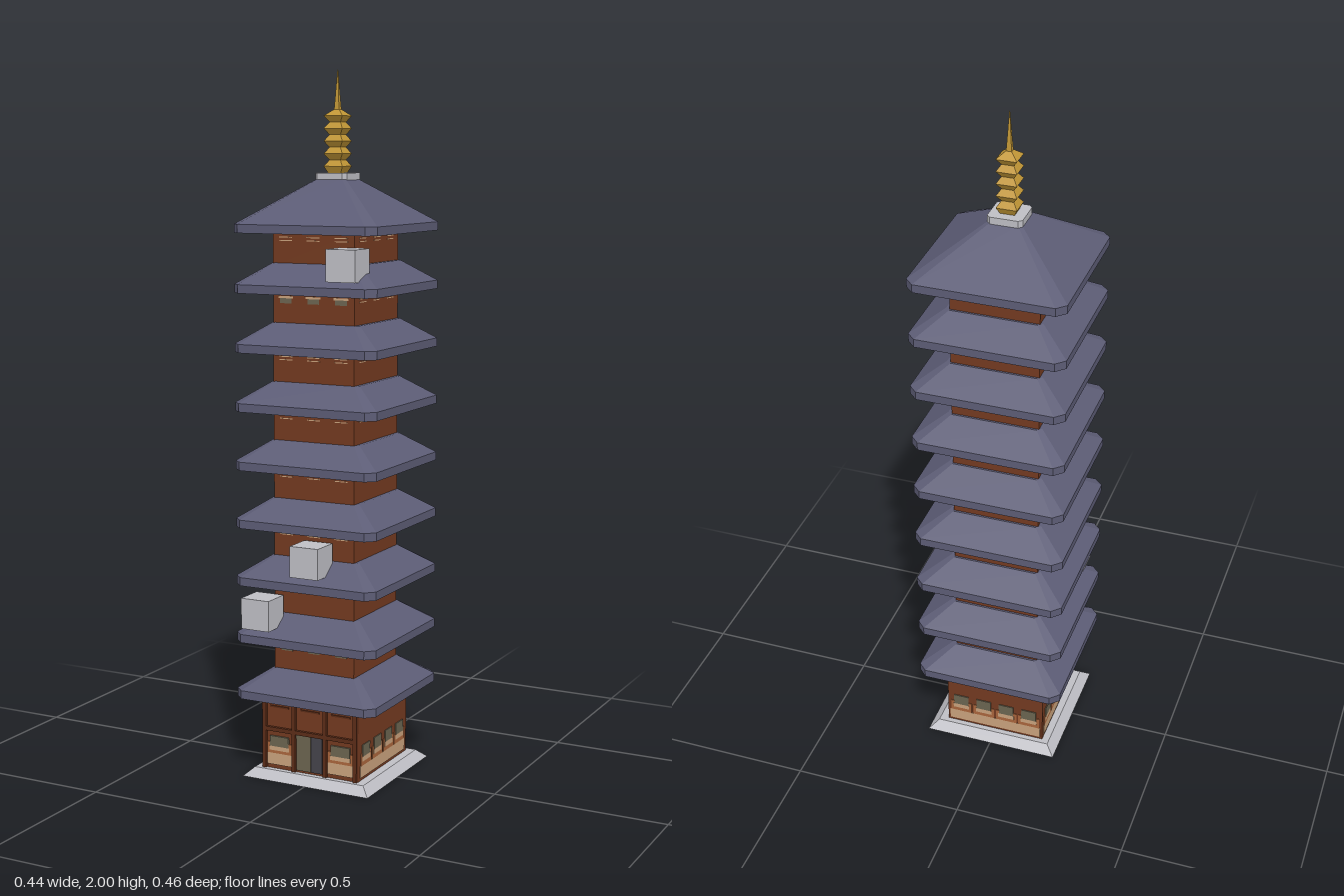
import * as THREE from 'three';

const paint = (name, color) => {
  const m = new THREE.MeshStandardMaterial({ color });
  m.name = name;
  return m;
};

// Outline of a rectangle, with cut corners when c > 0
function ring([hx, hz, y, c = 0]) {
  const p = c > 0
    ? [[-hx + c, hz], [hx - c, hz], [hx, hz - c], [hx, -hz + c], [hx - c, -hz], [-hx + c, -hz], [-hx, -hz + c], [-hx, hz - c]]
    : [[-hx, hz], [hx, hz], [hx, -hz], [-hx, -hz]];
  return p.map(([x, z]) => [x, y, z]);
}

// Closed, faceted solid through a stack of outlines [halfX, halfZ, y, cut]
function loft(sections) {
  const r = sections.map(ring), n = r[0].length, v = [];
  const last = r.length - 1;
  for (let j = 0; j < n; j++) {
    const k = (j + 1) % n;
    for (let i = 0; i < last; i++) {
      v.push(...r[i][j], ...r[i][k], ...r[i + 1][k]);
      v.push(...r[i][j], ...r[i + 1][k], ...r[i + 1][j]);
    }
    v.push(0, sections[0][2], 0, ...r[0][k], ...r[0][j]);
    v.push(0, sections[last][2], 0, ...r[last][j], ...r[last][k]);
  }
  const g = new THREE.BufferGeometry();
  g.setAttribute('position', new THREE.Float32BufferAttribute(v, 3));
  g.computeVertexNormals();
  return g;
}

export function createModel() {
  const model = new THREE.Group();
  model.name = 'pagoda';
  const tile = paint('slate blue tile', 0x5c5c75);
  const wood = paint('red brown wood', 0x733a20);
  const trim = paint('dark wood trim', 0x5c2c17);
  const stone = paint('grey stone', 0xbebec4);
  const gold = paint('gold', 0xc29736);
  const plaster = paint('beige plaster', 0xc9a27c);
  const clay = paint('orange clay', 0xa9653c);
  const pane = paint('olive window', 0x6b6450);
  const dark = paint('dark door', 0x45434a);

  function add(parent, name, geometry, material, x = 0, y = 0, z = 0) {
    const mesh = new THREE.Mesh(geometry, material);
    mesh.name = name;
    mesh.position.set(x, y, z);
    parent.add(mesh);
  }
  const box = (parent, name, mat, w, h, d, x, y, z) =>
    add(parent, name, new THREE.BoxGeometry(w, h, d), mat, x, y, z);

  // Four groups facing front, left, back and right, with their origin on the wall
  function wallFaces(parent, hx, hz) {
    return [0, 1, 2, 3].map((k) => {
      const turn = new THREE.Group(), face = new THREE.Group();
      turn.name = ['front', 'left', 'back', 'right'][k] + 'Face';
      face.name = 'wallDetails';
      turn.rotation.y = k * Math.PI / 2;
      face.position.z = k % 2 ? hx : hz;
      turn.add(face);
      parent.add(turn);
      return face;
    });
  }

  // Sloped stone base
  add(model, 'base', loft([[0.2, 0.2, 0], [0.174, 0.174, 0.024]]), stone, -0.001, 0, -0.005);

  // Ground floor
  const ground = new THREE.Group();
  ground.name = 'groundFloor';
  ground.position.set(-0.003, 0, -0.005);
  model.add(ground);
  box(ground, 'groundWalls', wood, 0.302, 0.22, 0.316, 0, 0.13, 0);

  wallFaces(ground, 0.151, 0.158).forEach((face, k) => {
    if (k === 0) {
      // Front: posts, rails, upper panels, side windows and a double door
      for (const x of [-0.145, -0.05, 0.05, 0.145])
        box(face, 'post', trim, 0.012, 0.21, 0.012, x, 0.13, 0.003);
      for (const y of [0.142, 0.226])
        box(face, 'rail', trim, 0.3, 0.012, 0.012, 0, y, 0.003);
      for (const x of [-0.098, 0, 0.098]) {
        box(face, 'upperPanelBar', trim, 0.06, 0.005, 0.005, x, 0.208, 0.001);
      }
      for (const x of [-0.098, 0.098]) {
        box(face, 'lowerPanel', plaster, 0.08, 0.034, 0.006, x, 0.053, 0.001);
        box(face, 'middlePanel', clay, 0.08, 0.032, 0.006, x, 0.086, 0.001);
        box(face, 'frontWindow', pane, 0.06, 0.03, 0.006, x, 0.106, 0.003);
        box(face, 'windowSill', plaster, 0.064, 0.012, 0.006, x, 0.085, 0.003);
      }
      box(face, 'doorLeafLeft', dark, 0.036, 0.105, 0.006, 0.022, 0.083, 0.001);
      box(face, 'doorLeafRight', pane, 0.046, 0.105, 0.006, -0.02, 0.083, 0.001);
      return;
    }
    // Other sides: a plaster band below four bays of clay and window
    box(face, 'lowerPanel', plaster, 0.288, 0.034, 0.004, 0, 0.049, 0);
    for (let i = 0; i < 4; i++) {
      const x = (i - 1.5) * 0.072;
      box(face, 'middlePanel', clay, 0.066, 0.036, 0.004, x, 0.084, 0);
      box(face, 'sideWindow', pane, 0.046, 0.034, 0.004, x, 0.109, 0.001);
      box(face, 'windowSill', plaster, 0.05, 0.014, 0.004, x, 0.085, 0.001);
    }
  });

  // Nine roofs, with a storey below each one but the first
  const floors = 9, pitch = 0.1651;
  for (let i = 0; i < floors; i++) {
    const eave = 0.235 + i * pitch, top = i === floors - 1;
    const peak = top ? [0.046, 0.046, eave + 0.145, 0.008] : [0.135, 0.14, eave + 0.082, 0.012];
    add(model, 'roof', loft([
      [0.22, 0.22, eave, 0.025], [0.22, 0.22, eave + 0.024, 0.025], peak,
    ]), tile, 0, 0, -0.009);

    if (i === 0) continue;
    const storey = new THREE.Group();
    storey.name = 'storey';
    storey.position.set(-0.002, eave, -0.006);
    model.add(storey);
    box(storey, 'storeyWalls', wood, 0.252, 0.095, 0.274, 0, -0.0445, 0);
    const wide = i === 1 || i === floors - 2;
    wallFaces(storey, 0.126, 0.137).forEach((face, k) => {
      // The back wall is plain
      if (k === 2) return;
      for (const x of [-0.086, 0, 0.086]) {
        if (wide && k === 0) {
          box(face, 'windowFrame', plaster, 0.046, 0.006, 0.003, x, -0.012, 0);
          box(face, 'storeyWindow', pane, 0.036, 0.014, 0.003, x, -0.022, 0);
        } else {
          for (const y of [-0.012, -0.021])
            box(face, 'windowSlat', plaster, 0.04, 0.0025, 0.002, x, y, 0);
        }
      }
    });
  }

  // Stone cap and gold finial
  const finial = new THREE.Group();
  finial.name = 'finial';
  finial.position.z = -0.011;
  model.add(finial);
  add(finial, 'cap', loft([[0.049, 0.049, 1.698, 0.01], [0.049, 0.049, 1.718, 0.01]]), stone);
  const profile = [[0.02, 0.02, 1.718]];
  for (let i = 0; i < 5; i++) {
    const y = 1.736 + i * 0.0345, neck = i < 4 ? 0.017 : 0.008;
    profile.push([0.029, 0.029, y], [neck, neck, y + 0.0175]);
  }
  add(finial, 'finialRings', loft(profile), gold);
  add(finial, 'spike', loft([[0.008, 0.008, 1.885], [0.005, 0.005, 1.93], [0.0008, 0.0008, 2]]), gold);

  // Three stone blocks standing out from the front
  for (const [x, y, z] of [[-0.138, 0.491, 0.185], [0.016, 0.655, 0.181], [0.122, 1.475, 0.168]])
    box(model, 'block', stone, 0.088, 0.088, 0.087, x, y, z);

  return model;
}
